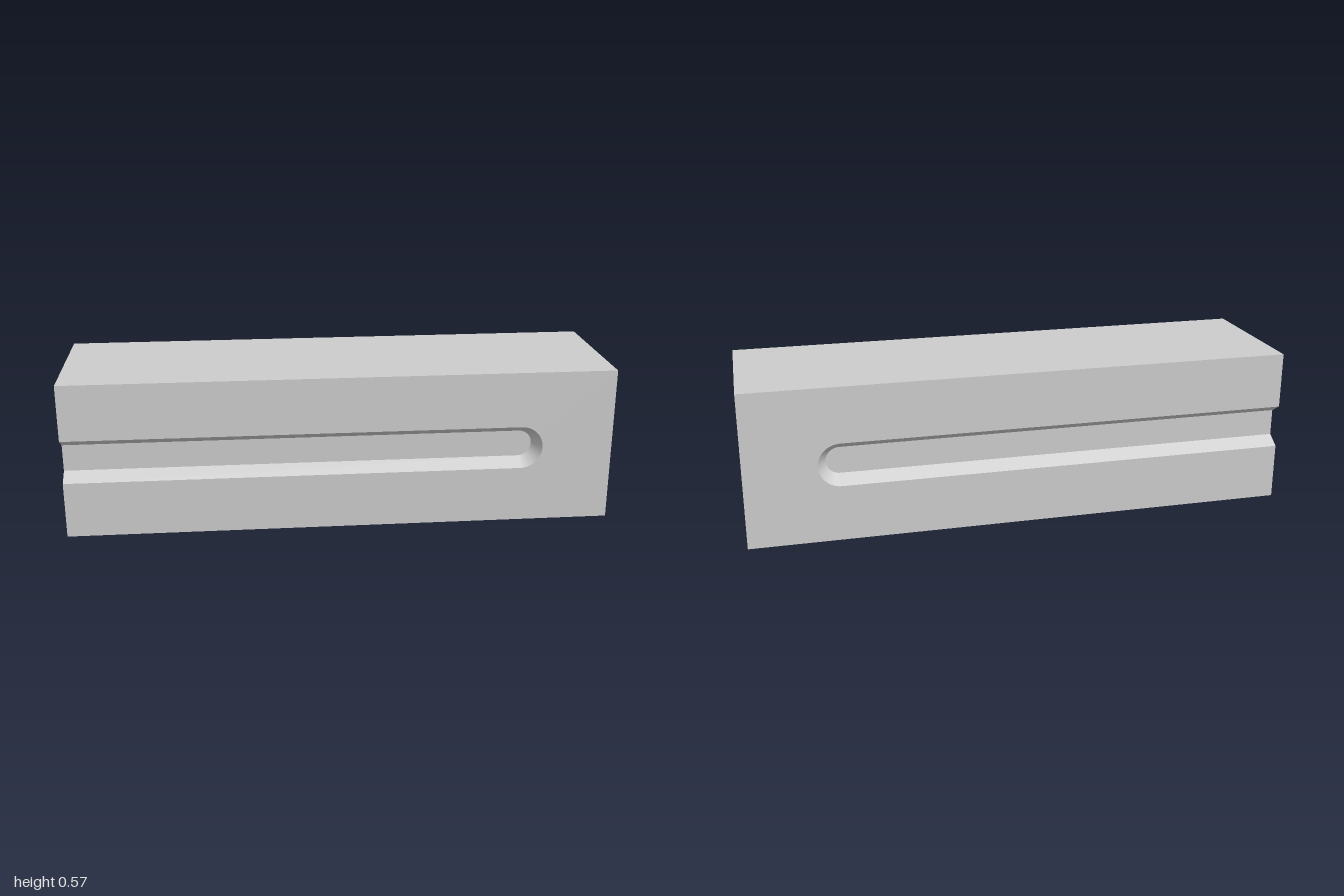
import * as THREE from 'three';

const L = 1, H = 0.2865, D = 0.2725;          // half length, half height, half depth
const LIP = 0.08, FLOOR = 0.049, DEPTH = 0.05; // groove half widths and depth
const END = 0.66;                             // centre of the rounded groove end

// U-shaped groove outline, open at the -x end
function slot(r) {
  const pts = [new THREE.Vector2(-L, r)];
  for (let i = 0; i <= 32; i++) {
    const a = Math.PI / 2 - (Math.PI * i) / 32;
    pts.push(new THREE.Vector2(END + r * Math.cos(a), r * Math.sin(a)));
  }
  pts.push(new THREE.Vector2(-L, -r));
  return pts;
}

const flat = (pts) => new THREE.ShapeGeometry(new THREE.Shape(pts));
const v = (x, y) => new THREE.Vector2(x, y);

// Sloping strip joining the groove lip to its floor
function slopeGeometry() {
  const outer = slot(LIP), inner = slot(FLOOR), pos = [], idx = [];
  outer.forEach((o, i) => {
    pos.push(o.x, o.y, D, inner[i].x, inner[i].y, D - DEPTH);
    if (i < outer.length - 1) {
      const k = 2 * i;
      idx.push(k, k + 1, k + 2, k + 1, k + 3, k + 2);
    }
  });
  const g = new THREE.BufferGeometry();
  g.setAttribute('position', new THREE.Float32BufferAttribute(pos, 3));
  g.setIndex(idx);
  g.computeVertexNormals();
  return g;
}

export function createModel() {
  const model = new THREE.Group();
  const block = new THREE.Group();
  block.name = 'groovedBlock';
  block.position.y = H;
  model.add(block);
  const mat = new THREE.MeshStandardMaterial({ color: 0xcccccc });
  const add = (parent, name, geo) => {
    const m = new THREE.Mesh(geo, mat);
    m.name = name;
    parent.add(m);
  };

  // Grooved front and back; the back is the front turned about the long axis
  const face = flat([v(-L, -H), v(L, -H), v(L, H), v(-L, H), ...slot(LIP)]).translate(0, 0, D);
  const floor = flat(slot(FLOOR)).translate(0, 0, D - DEPTH);
  const slope = slopeGeometry();
  for (const [side, turn] of [['front', 0], ['back', Math.PI]]) {
    const g = new THREE.Group();
    g.name = side + 'Side';
    g.rotation.x = turn;
    add(g, side + 'Face', face);
    add(g, side + 'GrooveFloor', floor);
    add(g, side + 'GrooveSlope', slope);
    block.add(g);
  }

  // Plain top, bottom and closed end
  add(block, 'top', new THREE.PlaneGeometry(2 * L, 2 * D).rotateX(-Math.PI / 2).translate(0, H, 0));
  add(block, 'bottom', new THREE.PlaneGeometry(2 * L, 2 * D).rotateX(Math.PI / 2).translate(0, -H, 0));
  add(block, 'closedEnd', new THREE.PlaneGeometry(2 * D, 2 * H).rotateY(Math.PI / 2).translate(L, 0, 0));

  // Open end, notched on both edges by the grooves
  const half = [v(D, -H), v(D, -LIP), v(D - DEPTH, -FLOOR), v(D - DEPTH, FLOOR), v(D, LIP), v(D, H)];
  const profile = [...half, ...half.map((p) => v(-p.x, -p.y))];
  add(block, 'openEnd', flat(profile).rotateY(-Math.PI / 2).translate(-L, 0, 0));

  return model;
}
